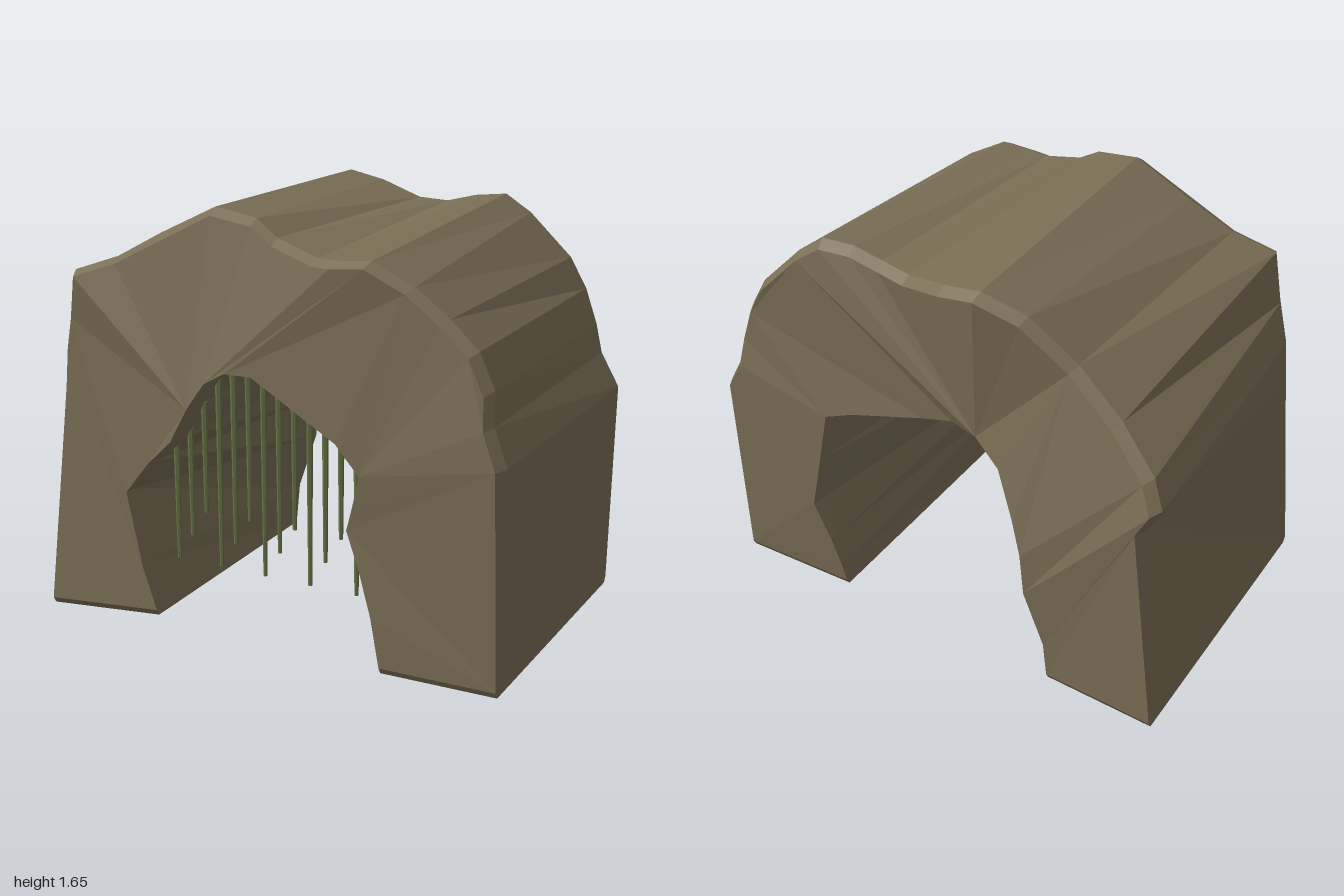
import * as THREE from 'three';

// Outline points: [front x, y, z, back x, y, z], running left foot -> crown -> right foot
const OUTER = [
  [-.92, 0, .675, -.99, 0, -.62], [-.905, .9, .575, -.93, .9, -.65], [-.89, 1.06, .575, -1, 1.03, -.68],
  [-.83, 1.2, .62, -.95, 1.13, -.65], [-.77, 1.38, .67, -.79, 1.27, -.60], [-.6, 1.44, .63, -.6, 1.42, -.58],
  [-.42, 1.54, .60, -.42, 1.57, -.62], [-.18, 1.655, .60, -.26, 1.64, -.67], [0, 1.63, .61, -.1, 1.61, -.66],
  [.1, 1.57, .63, .1, 1.56, -.60], [.28, 1.52, .66, .24, 1.56, -.57], [.36, 1.52, .67, .36, 1.59, -.58],
  [.49, 1.53, .66, .48, 1.6, -.61], [.64, 1.45, .63, .58, 1.53, -.63], [.77, 1.35, .62, .75, 1.36, -.65],
  [.88, 1.25, .62, .82, 1.24, -.65], [.94, 1.12, .62, .87, 1.1, -.65], [.95, 1, .64, .89, .98, -.67],
  [1, .86, .64, .97, .85, -.66], [.985, 0, .60, .955, 0, -.62],
];
const INNER = [
  [-.48, 0, .58, -.53, 0, -.61], [-.52, .22, .61, -.52, .18, -.62], [-.57, .52, .63, -.45, .42, -.65],
  [-.45, .66, .65, -.44, .6, -.66], [-.33, .77, .67, -.40, .74, -.65], [-.25, .91, .675, -.32, .92, -.62],
  [-.17, 1.02, .675, -.2, 1, -.59], [-.08, 1.07, .675, -.08, 1.01, -.57], [.03, 1.07, .67, .05, .98, -.58],
  [.2, .97, .67, .2, .94, -.60], [.37, .87, .66, .35, .91, -.63], [.46, .76, .65, .46, .87, -.65],
  [.43, .64, .64, .5, .65, -.66], [.40, .54, .63, .56, .41, -.65], [.45, .4, .63, .5, .24, -.63],
  [.5, .22, .63, .47, .1, -.61], [.53, 0, .62, .46, 0, -.60],
];
// Creases across each end face: [outer point, inner point]
const FRONT_CREASES = [[0, 0], [2, 2], [4, 5], [7, 6], [11, 6], [13, 11], [18, 13], [19, 16]];
const BACK_CREASES = [[0, 0], [2, 2], [5, 6], [12, 6], [15, 11], [18, 13], [19, 16]];

// Four rings from front face to back face; the outer rim is slightly chamfered
function makeRings() {
  const rings = [[], [], [], []];
  const add = (p, inset) => {
    const rim = (x, y) => (y > 0 ? [x * inset, .6 + (y - .6) * inset] : [x, .025]);
    const depth = (y) => (y > 0 ? .045 : .015);
    rings[0].push([...rim(p[0], p[1]), p[2]]);
    rings[1].push([p[0], p[1], p[2] - depth(p[1])]);
    rings[2].push([p[3], p[4], p[5] + depth(p[4])]);
    rings[3].push([...rim(p[3], p[4]), p[5]]);
  };
  OUTER.forEach((p) => add(p, .975));
  [...INNER].reverse().forEach((p) => add(p, 1));
  return rings;
}

function geometryFrom(triangles) {
  const g = new THREE.BufferGeometry();
  g.setAttribute('position', new THREE.Float32BufferAttribute(triangles.flat(2), 3));
  g.computeVertexNormals();
  return g;
}

// Outer shell, tunnel lining and feet
function shellGeometry(rings) {
  const tris = [];
  for (let r = 0; r < 3; r++) {
    const f = rings[r], b = rings[r + 1], n = f.length;
    for (let i = 0; i < n; i++) {
      const j = (i + 1) % n;
      tris.push([f[i], f[j], b[j]], [f[i], b[j], b[i]]);
    }
  }
  return geometryFrom(tris);
}

// Arch-shaped end face split along its creases, facing +z (dir 1) or -z (dir -1)
function faceGeometry(ring, creases, dir) {
  const tris = [], last = ring.length - 1;
  for (let k = 0; k < creases.length - 1; k++) {
    const [o0, i0] = creases[k], [o1, i1] = creases[k + 1];
    const piece = [...ring.slice(o0, o1 + 1), ...ring.slice(last - i1, last - i0 + 1)];
    const pts = piece.map((p) => new THREE.Vector2(p[0], p[1]));
    for (const [a, b, c] of THREE.ShapeUtils.triangulateShape(pts, [])) {
      const area = THREE.ShapeUtils.area([pts[a], pts[b], pts[c]]);
      tris.push(area * dir > 0 ? [piece[a], piece[b], piece[c]] : [piece[a], piece[c], piece[b]]);
    }
  }
  return geometryFrom(tris);
}

// Ceiling height of the front opening, over its upper part
function ceilingAt(x) {
  const arch = INNER.slice(2, 12);
  const i = arch.findIndex((p) => p[0] >= x);
  const [x0, y0] = arch[i - 1], [x1, y1] = arch[i];
  return y0 + (y1 - y0) * (x - x0) / (x1 - x0);
}

export function createModel() {
  const model = new THREE.Group();
  model.name = 'caveArch';
  const rock = new THREE.MeshStandardMaterial({ color: 0x7a6e55 });
  rock.name = 'brown rock';
  rock.flatShading = true;
  const green = new THREE.MeshStandardMaterial({ color: 0x667145 });
  green.name = 'vine green';
  green.flatShading = true;

  const add = (parent, name, geometry, material) => {
    const mesh = new THREE.Mesh(geometry, material);
    mesh.name = name;
    parent.add(mesh);
    return mesh;
  };

  const rings = makeRings();
  add(model, 'rockShell', shellGeometry(rings), rock);
  add(model, 'frontFace', faceGeometry(rings[0], FRONT_CREASES, 1), rock);
  add(model, 'backFace', faceGeometry(rings[3], BACK_CREASES, -1), rock);

  // Hanging vines in three repeating lengths
  const vines = new THREE.Group();
  vines.name = 'hangingVines';
  model.add(vines);
  const ends = [.25, .355, .46];
  for (let i = 0; i < 13; i++) {
    const x = -.396 + i * .0655;
    const top = ceilingAt(x) + .02, bottom = ends[i % 3];
    const vine = add(vines, 'vine', new THREE.CylinderGeometry(.013, .008, top - bottom, 6), green);
    vine.position.set(x, (top + bottom) / 2, .53);
  }
  return model;
}
